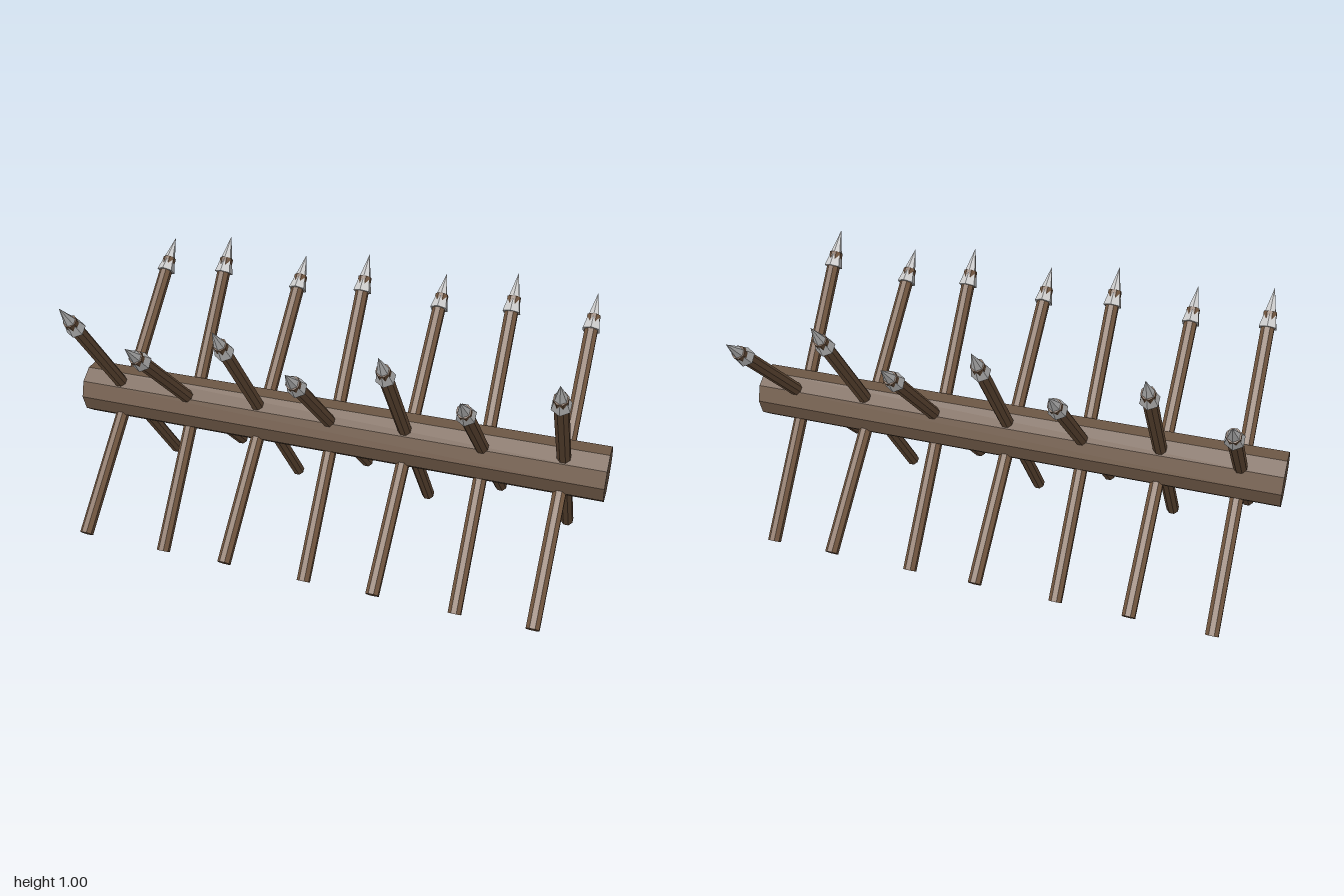
import * as THREE from 'three';

const AXIS_Y = 0.475;   // height of the log's centre line
const TIP = 0.667;      // spearhead point, measured from the log's centre
const BUTT = 0.578;     // lower end of a stake, measured from the log's centre
const HEAD = 0.148;     // spearhead length
const SHAFT_TOP = TIP - 0.09;

export function createModel() {
  const model = new THREE.Group();
  model.name = 'spikedBarricade';

  const logWood = new THREE.MeshStandardMaterial({ color: 0x6e5846, flatShading: true });
  const stakeWood = new THREE.MeshStandardMaterial({ color: 0x735740, flatShading: true });
  const metal = new THREE.MeshStandardMaterial({ color: 0xcccccc, flatShading: true });

  // Ten-sided log lying along x
  const log = new THREE.Mesh(new THREE.CylinderGeometry(0.1, 0.1, 2, 10), logWood);
  log.name = 'log';
  log.rotation.z = Math.PI / 2;
  log.position.y = AXIS_Y;
  model.add(log);

  // Stake parts, with the log's centre as origin and the point along +y
  const shaftGeo = new THREE.CylinderGeometry(0.025, 0.025, SHAFT_TOP + BUTT, 8)
    .rotateY(Math.PI / 8)
    .translate(0, (SHAFT_TOP - BUTT) / 2, 0);
  const headGeo = new THREE.ConeGeometry(0.035, HEAD, 6).translate(0, TIP - HEAD / 2, 0);

  function addStake(x, lean) {
    const stake = new THREE.Group();
    stake.name = 'stake';
    const shaft = new THREE.Mesh(shaftGeo, stakeWood);
    shaft.name = 'shaft';
    const head = new THREE.Mesh(headGeo, metal);
    head.name = 'spearhead';
    stake.add(shaft, head);
    stake.position.set(x, AXIS_Y, 0);
    stake.rotation.x = lean;
    model.add(stake);
  }

  // Seven crossed pairs; the steep and shallow stakes swap sides each time
  const steep = THREE.MathUtils.degToRad(37.6);
  const shallow = THREE.MathUtils.degToRad(46.6);
  for (let i = -3; i <= 3; i++) {
    const side = i % 2 === 0 ? 1 : -1;
    addStake(i * 0.283, side * shallow);
    addStake(i * 0.283, -side * steep);
  }
  return model;
}
